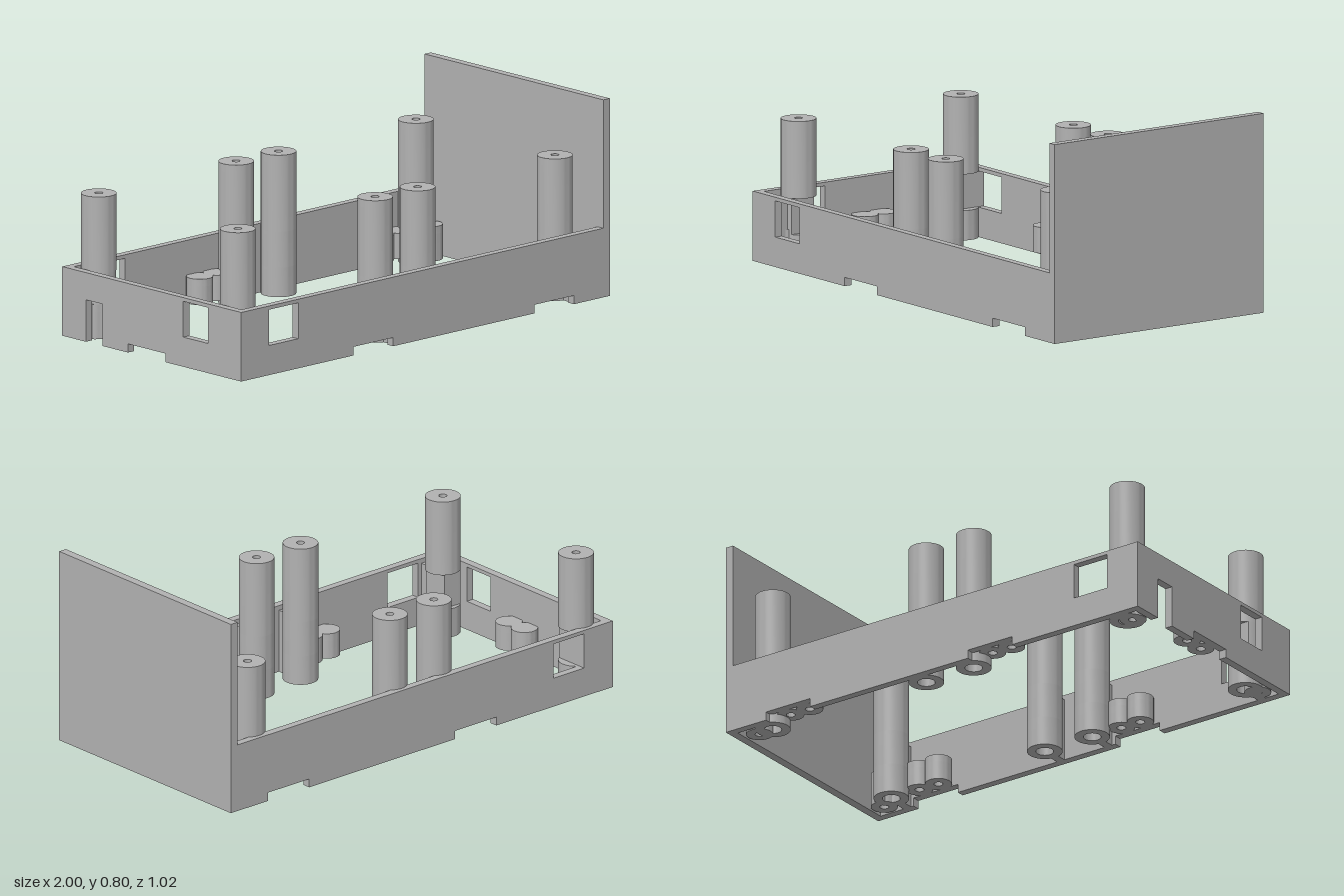
import * as THREE from 'three';
import { toCreasedNormals } from 'three/addons/utils/BufferGeometryUtils.js';

const grey = new THREE.MeshStandardMaterial({ color: 0xb2b2b2 });
grey.name = 'plain grey';

const WALL = 0.033, WALL_TOP = 0.28, NOTCH = 0.035;
const WIN_LOW = 0.12, WIN_HIGH = 0.265, POST_TOP = 0.575;

function add(parent, name, geometry, x = 0, y = 0, z = 0) {
  const mesh = new THREE.Mesh(geometry, grey);
  mesh.name = name;
  mesh.position.set(x, y, z);
  parent.add(mesh);
  return mesh;
}

// Upright round piece from y0 to y1, with an optional bore and flats at maxX / maxY
function roundPiece(r, bore, y0, y1, maxX = 1, maxY = 1) {
  const points = [];
  for (let i = 0; i < 48; i++) {
    const a = (i / 48) * Math.PI * 2;
    points.push(new THREE.Vector2(Math.min(r * Math.cos(a), maxX), Math.min(r * Math.sin(a), maxY)));
  }
  const shape = new THREE.Shape(points);
  if (bore) shape.holes.push(new THREE.Path().absarc(0, 0, bore, 0, Math.PI * 2, true));
  const geo = new THREE.ExtrudeGeometry(shape, { depth: y1 - y0, bevelEnabled: false, curveSegments: 16 });
  geo.rotateX(-Math.PI / 2);
  geo.translate(0, y0, 0);
  return toCreasedNormals(geo, 0.5);
}

// Wall panel with notches [from, to, height] in its lower edge and one window
function wallPanel(from, to, notches, winFrom, winTo) {
  const s = new THREE.Shape();
  s.moveTo(from, 0);
  for (const [a, b, h] of notches) {
    s.lineTo(a, 0);
    s.lineTo(a, h);
    s.lineTo(b, h);
    s.lineTo(b, 0);
  }
  s.lineTo(to, 0);
  s.lineTo(to, WALL_TOP);
  s.lineTo(from, WALL_TOP);
  s.closePath();
  s.holes.push(new THREE.Path([
    new THREE.Vector2(winFrom, WIN_LOW), new THREE.Vector2(winFrom, WIN_HIGH),
    new THREE.Vector2(winTo, WIN_HIGH), new THREE.Vector2(winTo, WIN_LOW),
  ]));
  return new THREE.ExtrudeGeometry(s, { depth: WALL, bevelEnabled: false });
}

// Tall screw post, wide bore below and narrow bore above, cut away beside the windows
function screwPost(parent, x, z, maxX, maxY) {
  const post = new THREE.Group();
  post.name = 'screwPost';
  post.position.set(x, 0, z);
  add(post, 'postFoot', roundPiece(0.07, 0.035, 0, WIN_LOW));
  add(post, 'postMiddle', roundPiece(0.07, 0.016, WIN_LOW, WIN_HIGH, maxX, maxY));
  add(post, 'postTop', roundPiece(0.07, 0.016, WIN_HIGH, POST_TOP));
  parent.add(post);
}

// Short magnet or foot boss with a blind bore from below
function boss(parent, x, z, bottom) {
  const group = new THREE.Group();
  group.name = 'shortBoss';
  group.position.set(x, 0, z);
  add(group, 'bossSleeve', roundPiece(0.053, 0.018, bottom, 0.11));
  add(group, 'bossCap', roundPiece(0.053, 0, 0.11, 0.14));
  parent.add(group);
}

export function createModel() {
  const model = new THREE.Group();
  model.name = 'openEnclosureFrame';

  // Long walls
  const longNotches = [[-0.39, -0.175, NOTCH], [0.59, 0.805, NOTCH]];
  const longWall = wallPanel(-1, 0.965, longNotches, -0.85, -0.69);
  add(model, 'frontWall', longWall, 0, 0, 0.51 - WALL);
  add(model, 'backWall', longWall, 0, 0, -0.51);

  // Short wall with a cable opening and a foot notch
  const shortNotches = [[-0.375, -0.28, 0.17], [-0.135, 0.08, NOTCH]];
  const shortWall = wallPanel(-0.51 + WALL, 0.51 - WALL, shortNotches, 0.18, 0.32);
  shortWall.rotateY(-Math.PI / 2);
  add(model, 'sideWall', shortWall, -1 + WALL, 0, 0);

  // Tall end plate
  add(model, 'endPlate', new THREE.BoxGeometry(0.035, 0.8, 1.02), 0.9825, 0.4, 0);

  // Screw posts, and ribs tying the front row to its wall
  for (const x of [-0.885, -0.14, 0.09, 0.835]) {
    const flat = x < -0.8 ? 0.035 : 1;
    screwPost(model, x, -0.422, flat, 1);
    screwPost(model, x, 0.37, flat, x < -0.8 ? 0.05 : 1);
    add(model, 'postRib', new THREE.BoxGeometry(0.036, 0.26, 0.05), x, 0.13, 0.458);
  }

  // Paired bosses above the wall notches, and single bosses in the corners
  for (const side of [-1, 1]) {
    for (const x of [-0.33, -0.238, 0.65, 0.742]) boss(model, x, side * 0.43, NOTCH);
    for (const x of [-0.91, 0.903]) boss(model, x, side * 0.417, 0);
  }
  for (const z of [-0.073, 0.019]) boss(model, -0.922, z, NOTCH);

  return model;
}
